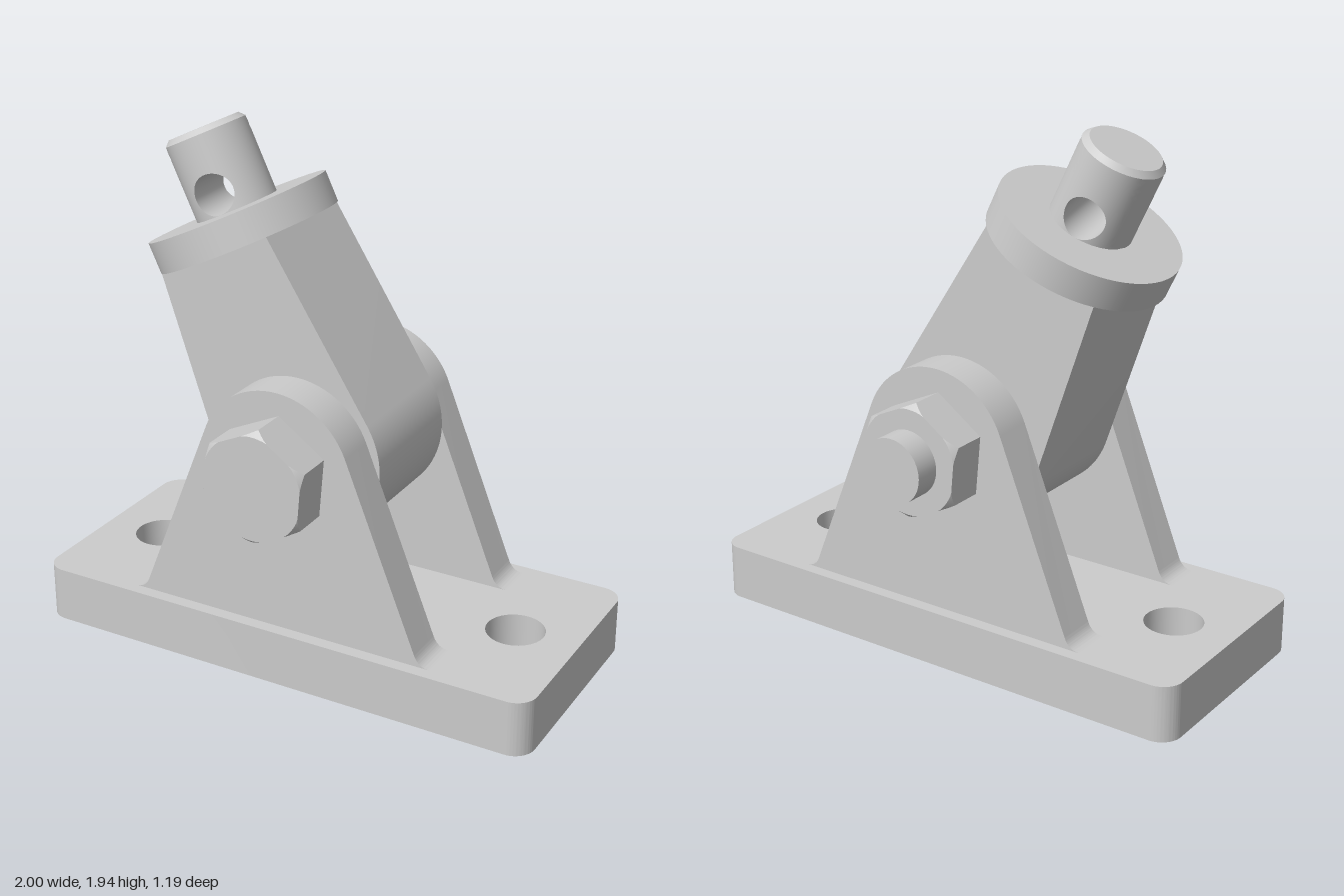
import * as THREE from 'three';
import { toCreasedNormals } from 'three/addons/utils/BufferGeometryUtils.js';
import { ParametricGeometry } from 'three/addons/geometries/ParametricGeometry.js';

const PIVOT_Y = 0.82;
const BASE_TOP = 0.21;
const material = new THREE.MeshStandardMaterial({ color: 0xcccccc });

function add(parent, name, geometry) {
  const mesh = new THREE.Mesh(geometry, material);
  mesh.name = name;
  parent.add(mesh);
  return mesh;
}

// Extruded shape, centred on z = 0, with smooth curves and sharp edges
function slab(shape, depth, curveSegments = 24) {
  const geo = new THREE.ExtrudeGeometry(shape, { depth, bevelEnabled: false, curveSegments });
  geo.translate(0, 0, -depth / 2);
  return toCreasedNormals(geo, 0.45);
}

function basePlate() {
  const w = 1, d = 0.44, r = 0.08;
  const s = new THREE.Shape();
  s.absarc(w - r, d - r, r, 0, Math.PI / 2);
  s.absarc(-w + r, d - r, r, Math.PI / 2, Math.PI);
  s.absarc(-w + r, -d + r, r, Math.PI, Math.PI * 1.5);
  s.absarc(w - r, -d + r, r, Math.PI * 1.5, Math.PI * 2);
  s.closePath();
  for (const x of [-0.757, 0.757]) {
    s.holes.push(new THREE.Path().absarc(x, 0, 0.108, 0, Math.PI * 2, true));
  }
  const geo = slab(s, BASE_TOP);
  geo.rotateX(-Math.PI / 2);
  geo.translate(0, BASE_TOP / 2, 0);
  return geo;
}

// Tapered lug: round top, straight flanks, small fillets at the foot
function lug() {
  const r = 0.3, a = Math.atan2(0.374, 0.927);
  const s = new THREE.Shape();
  s.moveTo(-0.61, BASE_TOP - 0.005);
  s.lineTo(0.61, BASE_TOP - 0.005);
  s.lineTo(0.61, BASE_TOP);
  s.quadraticCurveTo(0.568, BASE_TOP, 0.551, 0.252);
  s.absarc(0, PIVOT_Y, r, a, Math.PI - a);
  s.lineTo(-0.551, 0.252);
  s.quadraticCurveTo(-0.568, BASE_TOP, -0.61, BASE_TOP);
  s.closePath();
  return slab(s, 0.15);
}

// Arm: round lower end with tangent flanks up to a narrower flat top
function armBody(r, halfTop, top) {
  const a = Math.atan2(top, halfTop) - Math.acos(r / Math.hypot(halfTop, top));
  const s = new THREE.Shape();
  s.moveTo(halfTop, top);
  s.lineTo(-halfTop, top);
  s.absarc(0, 0, r, Math.PI - a, Math.PI * 2 + a);
  s.closePath();
  return slab(s, 0.48, 40);
}

// Hexagonal prism along +z whose outer corners are cut by a cone
function hexagon(height) {
  const apothem = 0.188, flat = 0.196, turn = THREE.MathUtils.degToRad(-5 + 30);
  const geo = new ParametricGeometry((u, v, p) => {
    const t = u * Math.PI * 2;
    const rho = apothem / Math.cos((t % (Math.PI / 3)) - Math.PI / 6);
    const rim = height - Math.max(0, rho - flat) * 1.2;
    const ring = Math.round(v * 3);
    const radius = [rho, rho, Math.min(rho, flat), 0][ring];
    const z = [0, rim, height, height][ring];
    p.set(radius * Math.cos(t + turn), radius * Math.sin(t + turn), z);
  }, 72, 3);
  return toCreasedNormals(geo, 0.3);
}

// Upright pin with a bore across it; y is measured from the bore centre
function crossDrilledPin(parent, R, bore, low, high) {
  const wall = (u, v, p) => {
    const a = u * Math.PI * 2, c = Math.cos(a), s = Math.sin(a);
    const k = Math.max(Math.abs(c), Math.abs(s));
    const inner = Math.asin((bore * c) / R);
    const theta = THREE.MathUtils.lerp((c / k) * Math.PI / 2, inner, v);
    const y = THREE.MathUtils.lerp((s / k) * (s > 0 ? high : low), bore * s, v);
    p.set(R * Math.sin(theta), y, R * Math.cos(theta));
  };
  for (const [name, turn] of [['pinFrontWall', 0], ['pinBackWall', Math.PI]]) {
    add(parent, name, new ParametricGeometry(wall, 64, 12)).rotation.y = turn;
  }
  add(parent, 'pinBore', new ParametricGeometry((u, v, p) => {
    const a = u * Math.PI * 2, x = bore * Math.cos(a);
    p.set(x, bore * Math.sin(a), Math.sqrt(R * R - x * x) * (1 - 2 * v));
  }, 64, 4));
  // Chamfered end
  const c = 0.02;
  const end = new THREE.LatheGeometry([
    new THREE.Vector2(R, high),
    new THREE.Vector2(R - c, high + c),
    new THREE.Vector2(0, high + c),
  ], 64);
  add(parent, 'pinEnd', toCreasedNormals(end, 0.4));
}

export function createModel() {
  const model = new THREE.Group();
  model.name = 'pivotBracket';
  const body = new THREE.Group();
  body.name = 'bracketAssembly';
  body.position.z = 0.04;
  model.add(body);

  // Fixed bracket
  add(body, 'basePlate', basePlate());
  add(body, 'frontLug', lug()).position.z = 0.318;
  add(body, 'backLug', lug()).position.z = -0.318;

  // Pivot bolt
  const bolt = new THREE.Group();
  bolt.name = 'pivotBolt';
  bolt.position.y = PIVOT_Y;
  body.add(bolt);
  add(bolt, 'boltHead', hexagon(0.155)).position.z = 0.393;
  const nut = add(bolt, 'nut', hexagon(0.15));
  nut.rotation.y = Math.PI;
  nut.position.z = -0.393;
  const shank = add(bolt, 'boltShank', new THREE.CylinderGeometry(0.12, 0.12, 1.04, 48));
  shank.rotation.x = Math.PI / 2;
  shank.position.z = -0.12;

  // Tilted arm with collar and drilled pin
  const arm = new THREE.Group();
  arm.name = 'tiltingArm';
  arm.position.y = PIVOT_Y;
  arm.rotation.z = THREE.MathUtils.degToRad(25.7);
  body.add(arm);
  const top = 0.76, collar = 0.116;
  add(arm, 'armBody', armBody(0.33, 0.24, top));
  add(arm, 'collar', new THREE.CylinderGeometry(0.339, 0.339, collar, 64)).position.y = top + collar / 2;

  const pin = new THREE.Group();
  pin.name = 'drilledPin';
  pin.position.y = 0.951;
  pin.rotation.y = THREE.MathUtils.degToRad(12);
  arm.add(pin);
  crossDrilledPin(pin, 0.152, 0.075, 0.08, 0.21);

  return model;
}
